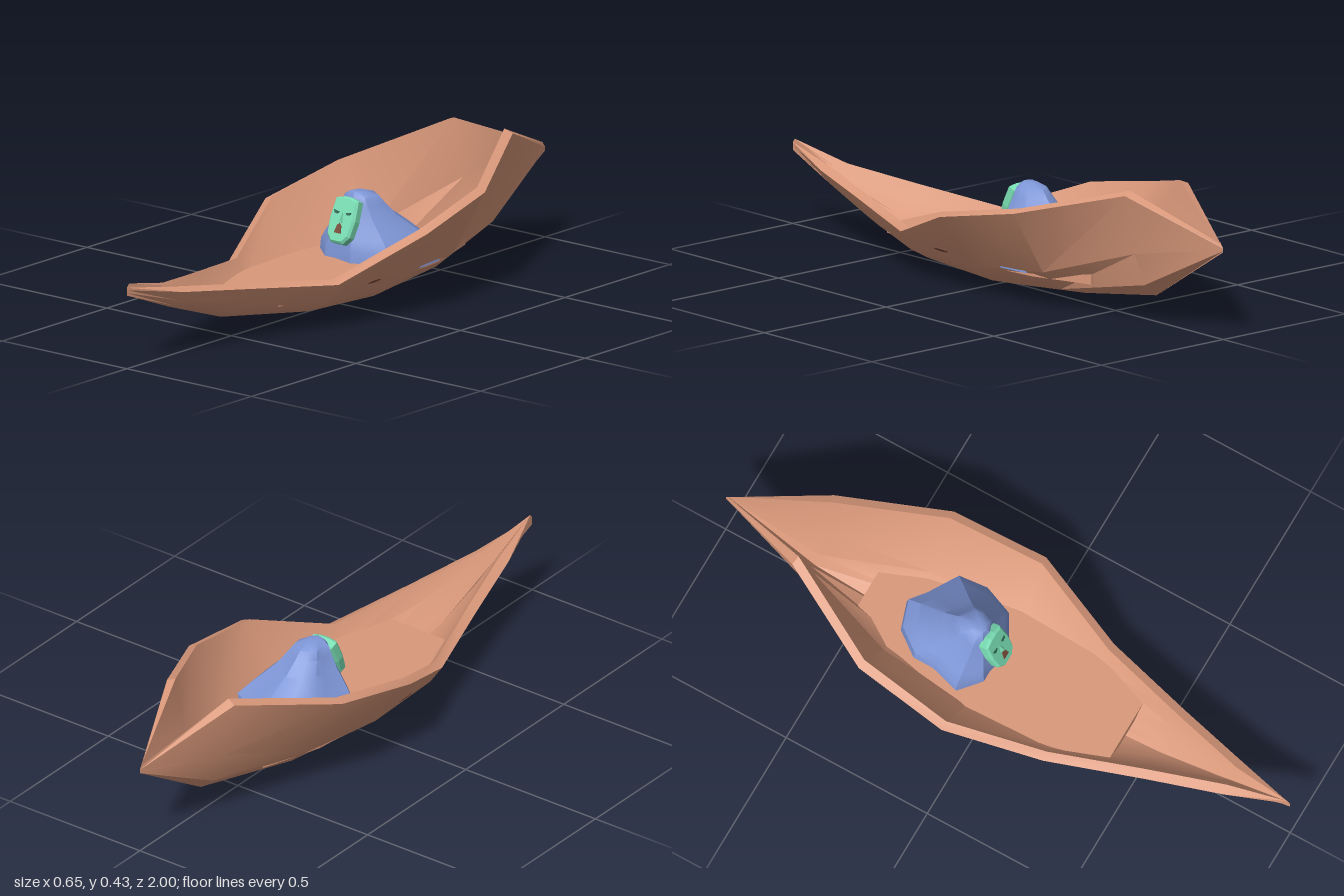
import * as THREE from 'three';
import { toCreasedNormals } from 'three/addons/utils/BufferGeometryUtils.js';

const mat = (name, color, side = THREE.FrontSide) => {
  const m = new THREE.MeshStandardMaterial({ color, side });
  m.name = name;
  return m;
};

// Skin a list of closed rings (arrays of [x, y, z]) into one surface.
function loft(rings, crease) {
  const n = rings[0].length, pos = rings.flat(2), index = [];
  const same = (a, b) => [0, 1, 2].every(i => Math.abs(pos[a * 3 + i] - pos[b * 3 + i]) < 1e-6);
  const tri = (a, b, c) => { if (!same(a, b) && !same(b, c) && !same(a, c)) index.push(a, b, c); };
  for (let r = 0; r < rings.length - 1; r++) {
    for (let k = 0; k < n; k++) {
      const a = r * n + k, b = r * n + (k + 1) % n, c = a + n, d = b + n;
      tri(a, b, c);
      tri(b, d, c);
    }
  }
  const g = new THREE.BufferGeometry();
  g.setAttribute('position', new THREE.Float32BufferAttribute(pos, 3));
  g.setIndex(index);
  return toCreasedNormals(g, crease);
}

const polygon = pts => new THREE.Shape(pts.map(p => new THREE.Vector2(...p)));
const mirrored = half => [...half, ...half.map(([x, y]) => [-x, y]).reverse()];

export function createModel() {
  const group = new THREE.Group();
  const wood = mat('wood', 0xd9987a, THREE.DoubleSide);
  const cloth = mat('blue cloth', 0x7f97d8);
  const maskGreen = mat('mask green', 0x78dcb2);
  const darkGreen = mat('dark green', 0x2f6653);
  const darkWood = mat('dark wood', 0x7a4c3a);
  const add = (parent, name, geometry, material) => {
    const mesh = new THREE.Mesh(geometry, material);
    mesh.name = name;
    parent.add(mesh);
    return mesh;
  };

  // Hull stations: z, rim x/y, chine x/y, bilge x/y, keel y
  const stations = [
    [-1, 0, 0.29, 0, 0.286, 0, 0.282, 0.278],
    [-0.69, 0.13, 0.42, 0.09, 0.23, 0.05, 0.125, 0.085],
    [-0.36, 0.295, 0.33, 0.175, 0.125, 0.1, 0.06, 0.032],
    [-0.05, 0.325, 0.268, 0.19, 0.09, 0.11, 0.033, 0.002],
    [0.25, 0.22, 0.15, 0.175, 0.085, 0.1, 0.045, 0.028],
    [0.55, 0.13, 0.185, 0.1, 0.13, 0.05, 0.09, 0.073],
    [0.8, 0.06, 0.215, 0.04, 0.185, 0.02, 0.165, 0.158],
    [1, 0, 0.26, 0, 0.252, 0, 0.243, 0.235],
  ];
  const hullRings = stations.map(([z, rx, ry, cx, cy, bx, by, ky]) => {
    const inset = x => Math.max(x - 0.028, 0);
    const outer = [[-rx, ry, z], [-cx, cy, z], [-bx, by, z], [0, ky, z], [bx, by, z], [cx, cy, z], [rx, ry, z]];
    const iz = z * 0.99;
    const inner = [[inset(rx), ry + 0.012, iz], [inset(cx), cy + 0.02, iz], [inset(bx), by + 0.025, iz], [0, ky + 0.025, iz]];
    return [...outer, ...inner, ...inner.slice(0, 3).reverse().map(([x, y, w]) => [-x, y, w])];
  });
  add(group, 'hull', loft(hullRings, 0.5), wood);

  // Flat floor boards inside the hull
  const deck = new THREE.ExtrudeGeometry(
    polygon(mirrored([[0.125, -0.42], [0.18, -0.15], [0.19, 0.05], [0.165, 0.3], [0.1, 0.5]])),
    { depth: 0.03, bevelEnabled: false });
  deck.rotateX(-Math.PI / 2);
  add(group, 'floor', deck, wood).position.y = 0.1;

  // Small slot on each side of the hull
  for (const side of [-1, 1]) {
    const slot = add(group, side > 0 ? 'leftSlot' : 'rightSlot',
      new THREE.CylinderGeometry(1, 1, 0.008, 8), darkWood);
    slot.scale.set(0.006, 1, 0.032);
    slot.position.set(side * 0.21, 0.125, 0.07);
    slot.rotation.z = -side * 2.2;
  }

  // Cloaked figure: an uneven outline that shrinks upwards into a hood
  const outline = [
    [0.03, -0.38], [-0.06, -0.35], [-0.12, -0.27], [-0.12, -0.2], [-0.15, -0.1], [-0.08, -0.04],
    [-0.04, -0.04], [0.04, -0.02], [0.15, -0.08], [0.19, -0.18], [0.18, -0.28], [0.08, -0.34]];
  const levels = [[0.11, 1], [0.165, 0.96], [0.2, 0.8], [0.26, 0.5], [0.3, 0.36], [0.325, 0.28], [0.338, 0.14], [0.341, 0]];
  const cloakRings = levels.map(([y, s]) =>
    outline.map(([x, z]) => [x * s, y, -0.09 + (z + 0.09) * s]));
  add(group, 'cloak', loft(cloakRings, 0.6), cloth);

  // Mask leaning back against the hood
  const mask = new THREE.Group();
  mask.name = 'mask';
  mask.position.set(0, 0.265, -0.025);
  mask.rotation.x = -0.4;
  group.add(mask);
  const face = new THREE.ExtrudeGeometry(
    polygon(mirrored([[0.02, -0.07], [0.038, -0.05], [0.043, 0], [0.038, 0.057], [0.012, 0.064]])),
    { depth: 0.022, bevelThickness: 0.008, bevelSize: 0.007, bevelSegments: 1 });
  face.translate(0, 0, -0.03);
  add(mask, 'face', face, maskGreen);

  // Slanted eyes
  for (const side of [-1, 1]) {
    const pts = [[0.012, 0.02], [0.034, 0.024], [0.03, 0.015], [0.02, 0.013]].map(([x, y]) => [x * side, y]);
    const eye = new THREE.ExtrudeGeometry(polygon(pts), { depth: 0.003, bevelEnabled: false });
    add(mask, side > 0 ? 'leftEye' : 'rightEye', eye, darkGreen);
  }

  // Nose ridge and open mouth
  const nose = new THREE.ConeGeometry(0.009, 0.032, 4);
  add(mask, 'nose', nose, maskGreen).position.set(0, 0.004, 0);
  const mouth = new THREE.ExtrudeGeometry(
    polygon([[-0.013, -0.046], [0.013, -0.046], [0.008, -0.022], [0, -0.014], [-0.008, -0.022]]),
    { depth: 0.003, bevelEnabled: false });
  add(mask, 'mouth', mouth, darkWood);

  return group;
}
